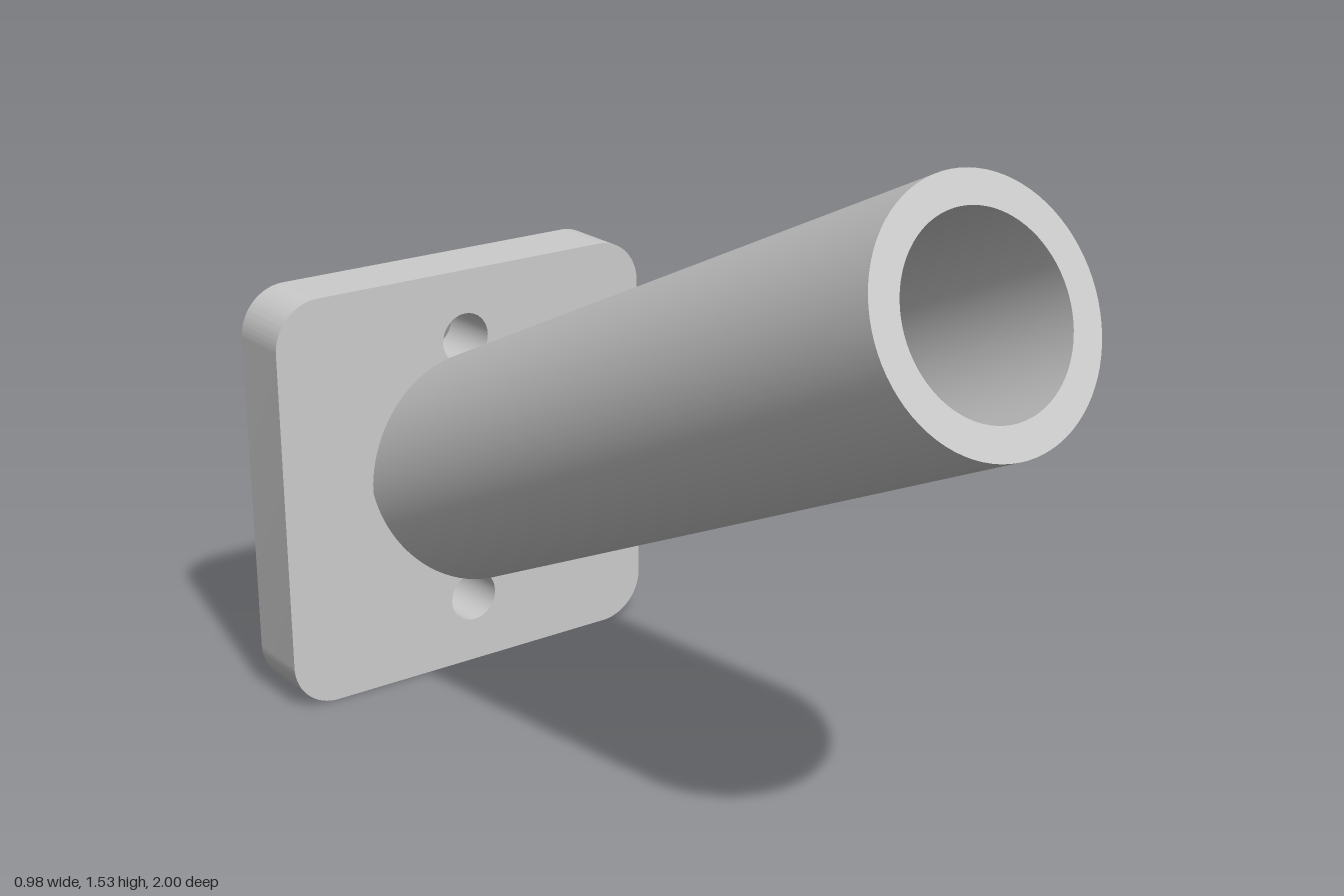
import * as THREE from 'three';
import { toCreasedNormals } from 'three/addons/utils/BufferGeometryUtils.js';

const material = new THREE.MeshStandardMaterial({ color: 0xcccccc });
const TILT = THREE.MathUtils.degToRad(25);
const PLATE_FRONT = -0.84;

function part(name, geometry) {
  const mesh = new THREE.Mesh(toCreasedNormals(geometry, 0.4), material);
  mesh.name = name;
  return mesh;
}

// Rounded square wall plate with two screw holes
function wallPlate() {
  const h = 0.49, r = 0.11, c = h - r;
  const shape = new THREE.Shape();
  shape.absarc(c, c, r, 0, Math.PI / 2);
  shape.absarc(-c, c, r, Math.PI / 2, Math.PI);
  shape.absarc(-c, -c, r, Math.PI, Math.PI * 1.5);
  shape.absarc(c, -c, r, Math.PI * 1.5, Math.PI * 2);
  shape.closePath();
  for (const y of [-0.325, 0.325]) {
    shape.holes.push(new THREE.Path().absarc(0, y, 0.061, 0, Math.PI * 2, true));
  }
  const geometry = new THREE.ExtrudeGeometry(shape, {
    depth: 0.16, bevelEnabled: false, curveSegments: 16,
  });
  const plate = part('wallPlate', geometry);
  plate.position.set(0, h, -1);
  return plate;
}

// Tilted tube, open through, its upper back edge cut flush with the plate
function tube() {
  const inner = 0.195, outer = 0.262, length = 1.906;
  const profile = [[inner, 0], [outer, 0], [outer, length], [inner, length], [inner, 0]]
    .map(([x, y]) => new THREE.Vector2(x, y));
  const geometry = new THREE.LatheGeometry(profile, 80);
  const p = geometry.attributes.position;
  for (let i = 0; i < p.count; i++) {
    if (p.getY(i) < 0.01) p.setY(i, Math.max(0, -p.getZ(i) * Math.tan(TILT)));
  }
  const mesh = part('tube', geometry);
  mesh.rotation.x = Math.PI / 2 - TILT;
  mesh.position.set(0, 0.492, PLATE_FRONT);
  return mesh;
}

export function createModel() {
  const model = new THREE.Group();
  model.name = 'poleHolder';
  model.add(wallPlate(), tube());
  return model;
}
